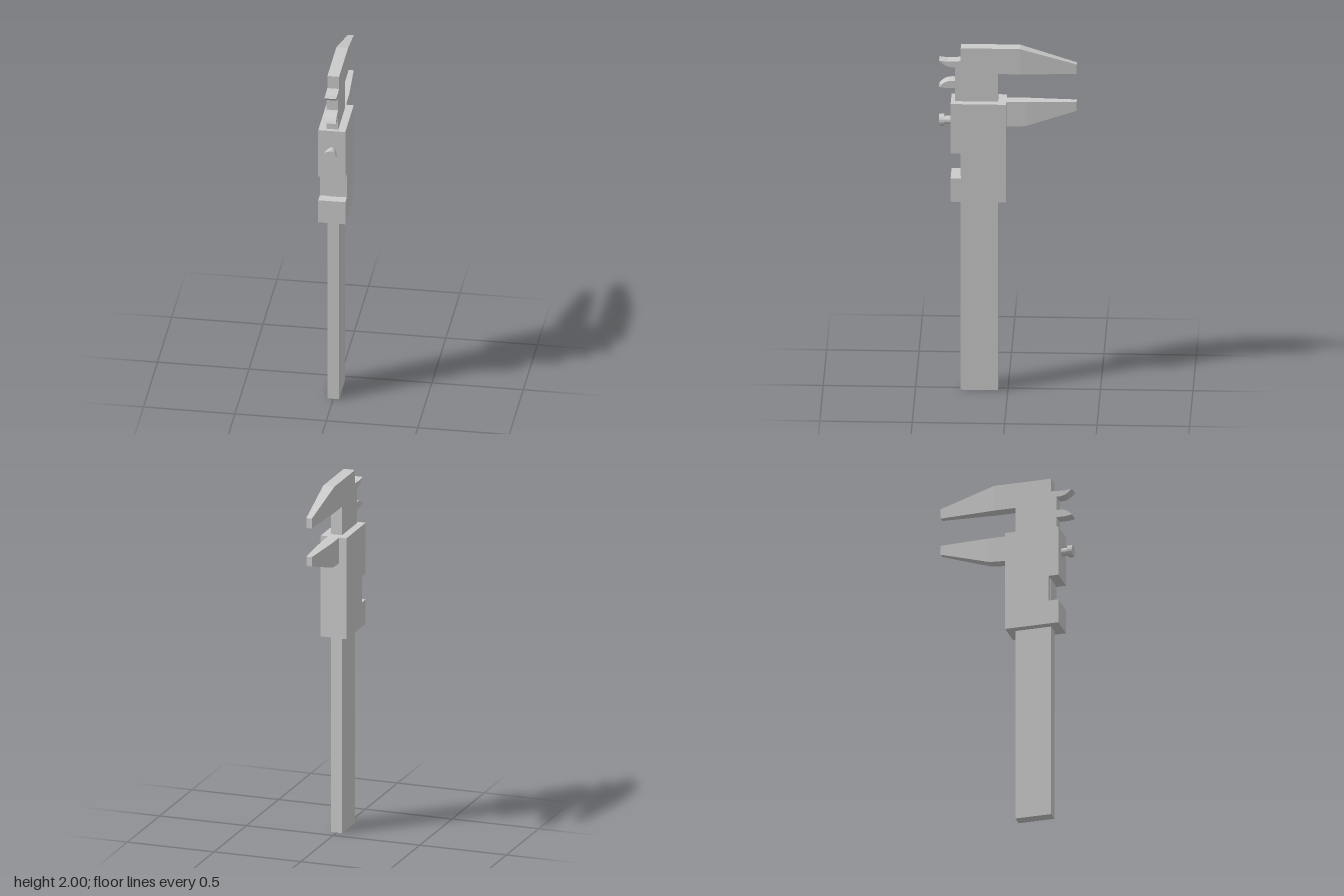
import * as THREE from 'three';

const material = new THREE.MeshStandardMaterial({ color: 0xcccccc, flatShading: true });
const HALF = 0.032;      // half thickness of beam and jaws
const TIP_HALF = 0.016;  // half thickness at the jaw tips
const TIP_Z = -0.372;

// Shape from [z, y] points; a four-number entry is a quadratic curve [cz, cy, z, y]
function profile(points) {
  const shape = new THREE.Shape();
  points.forEach((p, i) => {
    if (i === 0) shape.moveTo(...p);
    else if (p.length === 4) shape.quadraticCurveTo(...p);
    else shape.lineTo(...p);
  });
  return shape;
}

// Side profile extruded symmetrically across x
function plate(name, points, half) {
  const geometry = new THREE.ExtrudeGeometry(profile(points), {
    depth: half * 2, bevelEnabled: false, curveSegments: 6,
  });
  geometry.translate(0, 0, -half).rotateY(-Math.PI / 2);
  const mesh = new THREE.Mesh(geometry, material);
  mesh.name = name;
  return mesh;
}

// Plate that thins from startZ towards the jaw tip
function taperedPlate(name, points, startZ) {
  const mesh = plate(name, points, HALF);
  const pos = mesh.geometry.attributes.position;
  for (let i = 0; i < pos.count; i++) {
    const t = THREE.MathUtils.clamp((startZ - pos.getZ(i)) / (startZ - TIP_Z), 0, 1);
    pos.setX(i, pos.getX(i) * THREE.MathUtils.lerp(1, TIP_HALF / HALF, t));
  }
  mesh.geometry.computeVertexNormals();
  return mesh;
}

function cylinder(name, radius, z0, z1) {
  const geometry = new THREE.CylinderGeometry(radius, radius, z1 - z0, 20).rotateX(Math.PI / 2);
  const mesh = new THREE.Mesh(geometry, material);
  mesh.name = name;
  mesh.position.set(0, 1.567, (z0 + z1) / 2);
  return mesh;
}

export function createModel() {
  const model = new THREE.Group();
  model.name = 'caliper';

  // Beam with the head and root of the fixed jaw
  model.add(plate('beamAndHead', [
    [0.053, 0], [0.255, 0], [0.255, 2], [-0.065, 2], [-0.065, 1.852], [0.053, 1.852],
  ], HALF));

  // Front strip carrying the two small inside jaws
  model.add(plate('insideJaws', [
    [0.25, 1.5], [0.286, 1.5], [0.286, 1.766], [0.335, 1.766], [0.372, 1.772],
    [0.345, 1.808, 0.305, 1.809], [0.286, 1.809], [0.286, 1.888], [0.305, 1.888],
    [0.34, 1.89, 0.372, 1.926], [0.325, 1.92], [0.25, 1.925],
  ], HALF));

  model.add(taperedPlate('fixedJawTip', [
    [-0.065, 1.852], [-0.065, 2], [TIP_Z, 1.908], [TIP_Z, 1.852],
  ], -0.065));

  // Sliding body with a thumb notch in its front
  model.add(plate('slider', [
    [0.008, 1.118], [0.308, 1.118], [0.308, 1.255], [0.253, 1.255],
    [0.253, 1.402], [0.308, 1.402], [0.308, 1.69], [0.008, 1.69],
  ], 0.074));

  // Sliding jaw: straight root and tapered tip
  model.add(plate('slidingJawRoot', [
    [0.02, 1.545], [0.02, 1.69], [-0.1, 1.69], [-0.1, 1.551], [-0.06, 1.545, 0, 1.545],
  ], HALF));
  model.add(taperedPlate('slidingJawTip', [
    [-0.1, 1.551], [-0.1, 1.69], [TIP_Z, 1.69], [TIP_Z, 1.637],
  ], -0.1));

  // Locking screw
  const screw = new THREE.Group();
  screw.name = 'lockingScrew';
  screw.add(cylinder('screwShaft', 0.022, 0.3, 0.35), cylinder('screwHead', 0.033, 0.345, 0.372));
  model.add(screw);

  return model;
}
